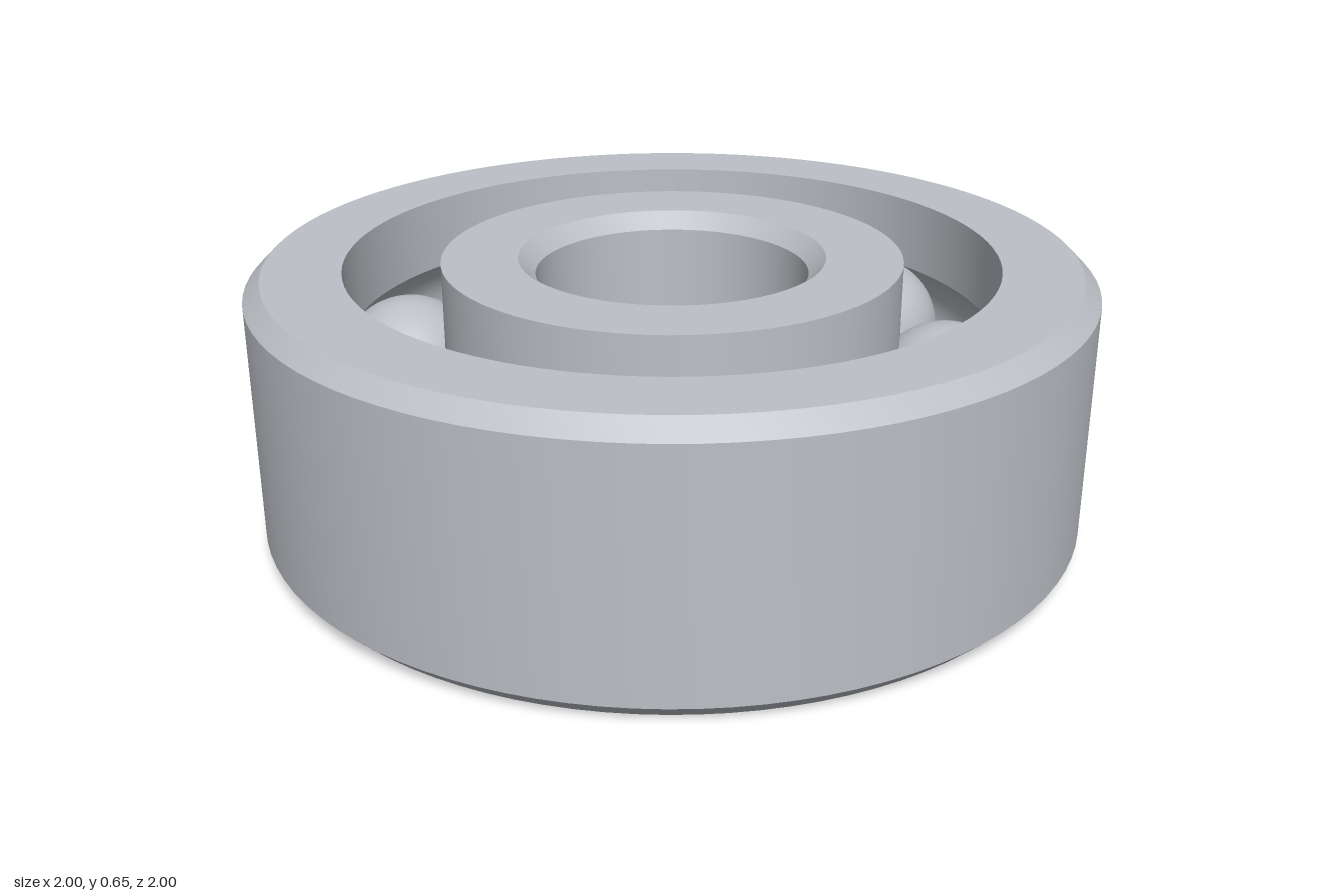
import * as THREE from 'three';
import { toCreasedNormals } from 'three/addons/utils/BufferGeometryUtils.js';

const HEIGHT = 0.65, MID = HEIGHT / 2, CHAMFER = 0.04;
const PITCH = 0.661, BALL = 0.179, GROOVE = 0.182, BALLS = 8;

// Arc of the ball groove where it cuts a wall of the given radius
function groove(wall) {
  const start = Math.atan2(Math.sqrt(GROOVE ** 2 - (wall - PITCH) ** 2), wall - PITCH);
  const end = wall > PITCH ? -start : 2 * Math.PI - start;
  const points = [];
  for (let i = 0; i <= 16; i++) {
    const a = start + (end - start) * i / 16;
    points.push([PITCH + GROOVE * Math.cos(a), MID + GROOVE * Math.sin(a)]);
  }
  return points;
}

// Revolves a closed profile, listed counter-clockwise as [radius, height]
function ring(name, profile, material) {
  const points = [...profile, profile[0]].map(([r, y]) => new THREE.Vector2(r, y));
  const geometry = toCreasedNormals(new THREE.LatheGeometry(points, 96), 0.5);
  const mesh = new THREE.Mesh(geometry, material);
  mesh.name = name;
  return mesh;
}

export function createModel() {
  const model = new THREE.Group();
  model.name = 'ballBearing';
  const steel = new THREE.MeshStandardMaterial({ color: 0xbcc0c6 });
  steel.name = 'steel';

  // Outer race: chamfered outside, grooved inside
  const outerWall = 0.775;
  model.add(ring('outerRace', [
    [1 - CHAMFER, 0], [1, CHAMFER], [1, HEIGHT - CHAMFER], [1 - CHAMFER, HEIGHT],
    [outerWall, HEIGHT], ...groove(outerWall), [outerWall, 0],
  ], steel));

  // Inner race: grooved outside, chamfered bore
  const innerWall = 0.548, bore = 0.326;
  model.add(ring('innerRace', [
    [innerWall, 0], ...groove(innerWall), [innerWall, HEIGHT],
    [bore + CHAMFER, HEIGHT], [bore, HEIGHT - CHAMFER], [bore, CHAMFER], [bore + CHAMFER, 0],
  ], steel));

  // Balls evenly spaced in the groove
  const balls = new THREE.Group();
  balls.name = 'balls';
  const ballGeometry = new THREE.SphereGeometry(BALL, 32, 24);
  for (let i = 0; i < BALLS; i++) {
    const a = i / BALLS * Math.PI * 2;
    const ball = new THREE.Mesh(ballGeometry, steel);
    ball.name = 'ball';
    ball.position.set(PITCH * Math.cos(a), MID, PITCH * Math.sin(a));
    balls.add(ball);
  }
  model.add(balls);
  return model;
}
